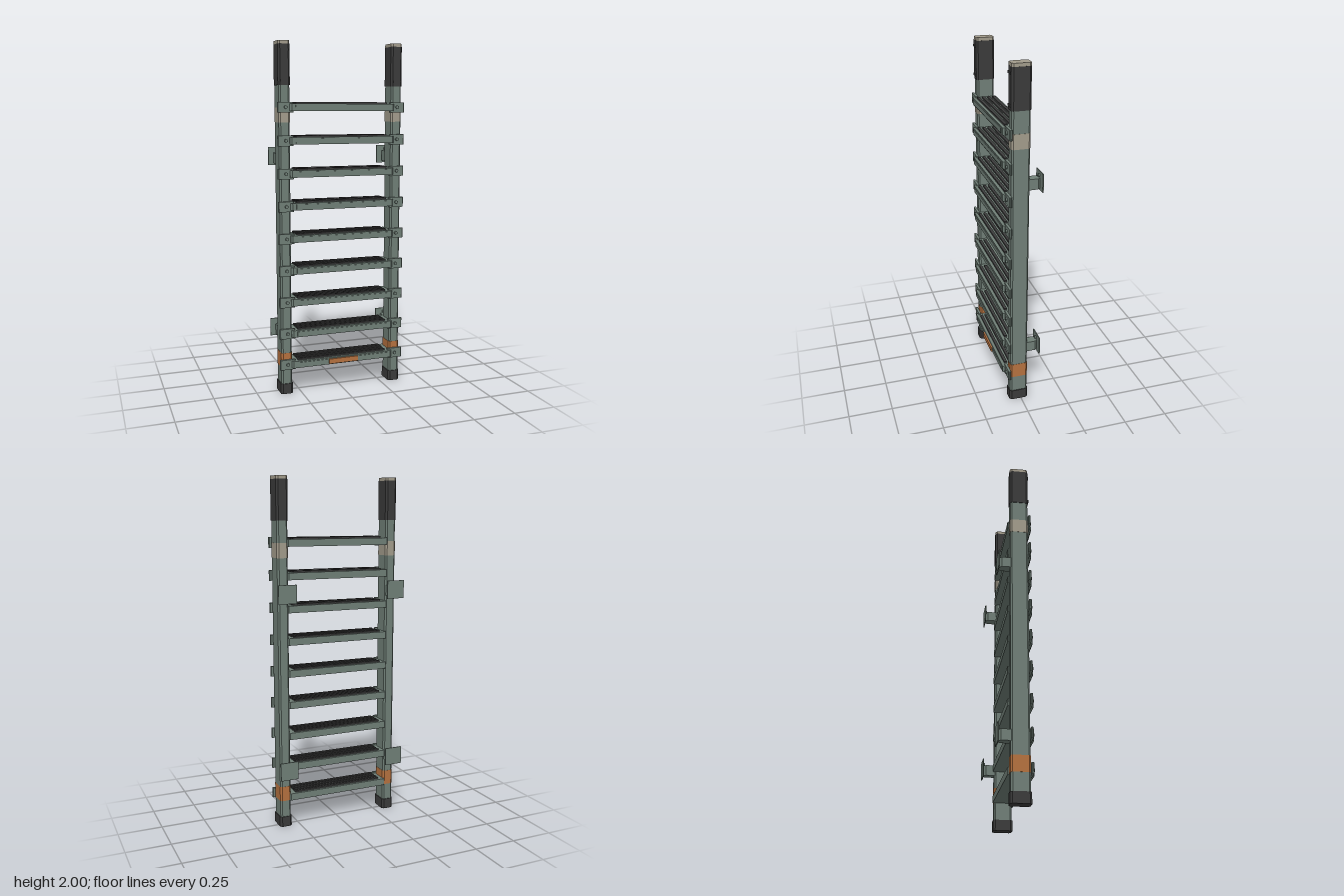
import * as THREE from 'three';

const material = (name, color) => Object.assign(new THREE.MeshStandardMaterial({ color }), { name });

export function createModel() {
  const green = material('grey green paint', 0x707f77);
  const dark = material('black rubber', 0x3b3b3b);
  const beige = material('beige plastic', 0xa39c8c);
  const orange = material('orange marking', 0xb5713f);

  const model = new THREE.Group();
  model.name = 'ladder';

  const add = (parent, name, geometry, mat) => {
    const mesh = new THREE.Mesh(geometry, mat);
    mesh.name = name;
    parent.add(mesh);
    return mesh;
  };

  // Box given by its minimum and maximum on each axis
  const box = (parent, name, mat, [x0, x1], [y0, y1], [z0, z1]) =>
    add(parent, name, new THREE.BoxGeometry(x1 - x0, y1 - y0, z1 - z0), mat)
      .position.set((x0 + x1) / 2, (y0 + y1) / 2, (z0 + z1) / 2);

  // Upright prism with cut corners; back and front cuts may differ
  const prism = (parent, name, mat, [x0, x1], [y0, y1], [z0, z1], back, front = back) => {
    const outline = [
      [x0 + front, z1], [x1 - front, z1], [x1, z1 - front], [x1, z0 + back],
      [x1 - back, z0], [x0 + back, z0], [x0, z0 + back], [x0, z1 - front],
    ].map(([x, z]) => new THREE.Vector2(x, -z));
    const geometry = new THREE.ExtrudeGeometry(new THREE.Shape(outline), { depth: y1 - y0, bevelEnabled: false });
    geometry.rotateX(-Math.PI / 2).translate(0, y0, 0);
    return add(parent, name, geometry, mat);
  };

  // Hexagonal bolt head pointing along z
  const bolt = (parent, x, y, z, length) => {
    const geometry = new THREE.CylinderGeometry(0.01, 0.01, length, 6).rotateX(Math.PI / 2);
    add(parent, 'bolt', geometry, green).position.set(x, y, z);
  };

  const railX = 0.334;
  const rungYs = Array.from({ length: 9 }, (_, i) => 0.177 + i * 0.183);

  // Side rails with foot, bands, grip and cap
  for (const side of [1, -1]) {
    const rail = new THREE.Group();
    rail.name = side > 0 ? 'leftRail' : 'rightRail';
    model.add(rail);
    const cx = side * railX;
    const section = (name, mat, y0, y1, grow) =>
      prism(rail, name, mat, [cx - 0.031 - grow, cx + 0.031 + grow], [y0, y1],
        [-0.037 - grow, 0.063 + grow], 0.009 + grow / 2);

    section('railTube', green, 0.02, 1.8, 0);
    section('foot', dark, 0, 0.06, 0.005);
    section('lowerBand', orange, 0.157, 0.243, 0.0015);
    section('upperBand', beige, 1.558, 1.64, 0.0015);
    section('grip', dark, 1.76, 1.982, 0.003);
    section('cap', beige, 1.982, 2, 0.002);
    for (const y of [1.785, 1.95]) {
      box(rail, 'gripRib', dark, [cx - 0.023, cx + 0.023], [y - 0.006, y + 0.006], [0.06, 0.071]);
    }

    // Clamp plates holding the rungs
    for (const y of rungYs) {
      const px = side * 0.3325;
      prism(rail, 'clampPlate', green, [px - 0.0455, px + 0.0455], [y - 0.03, y + 0.028], [0.064, 0.078], 0.004);
      bolt(rail, cx - side * 0.002, y, 0.08, 0.014);
    }

    // Wall standoffs
    for (const y of [0.357, 1.365]) {
      prism(rail, 'standoffArm', green, [cx - 0.026, cx + 0.026], [y - 0.04, y + 0.02], [-0.098, -0.03], 0.012, 0);
      box(rail, 'wallPlate', green, [cx - 0.053, cx + 0.053], [y - 0.052, y + 0.052], [-0.106, -0.1]);
      bolt(rail, cx, y + 0.03, -0.096, 0.01);
      bolt(rail, cx, y - 0.03, -0.096, 0.01);
    }
  }

  // Rungs with grip strips and a front nosing
  for (const y of rungYs) {
    const rung = new THREE.Group();
    rung.name = 'rung';
    model.add(rung);
    prism(rung, 'tread', green, [-0.31, 0.31], [y - 0.021, y + 0.019], [-0.046, 0.092], 0.006, 0.01);
    box(rung, 'nosing', green, [-0.278, 0.278], [y - 0.014, y + 0.012], [0.09, 0.096]);
    for (const z of [-0.023, 0.006, 0.036, 0.066]) {
      box(rung, 'gripStrip', dark, [-0.271, 0.271], [y + 0.017, y + 0.028], [z - 0.0085, z + 0.0085]);
    }
  }

  // Marker on the lowest rung
  box(model, 'stepMarker', orange, [-0.089, 0.089], [rungYs[0] - 0.015, rungYs[0] + 0.014], [0.095, 0.104]);

  return model;
}
